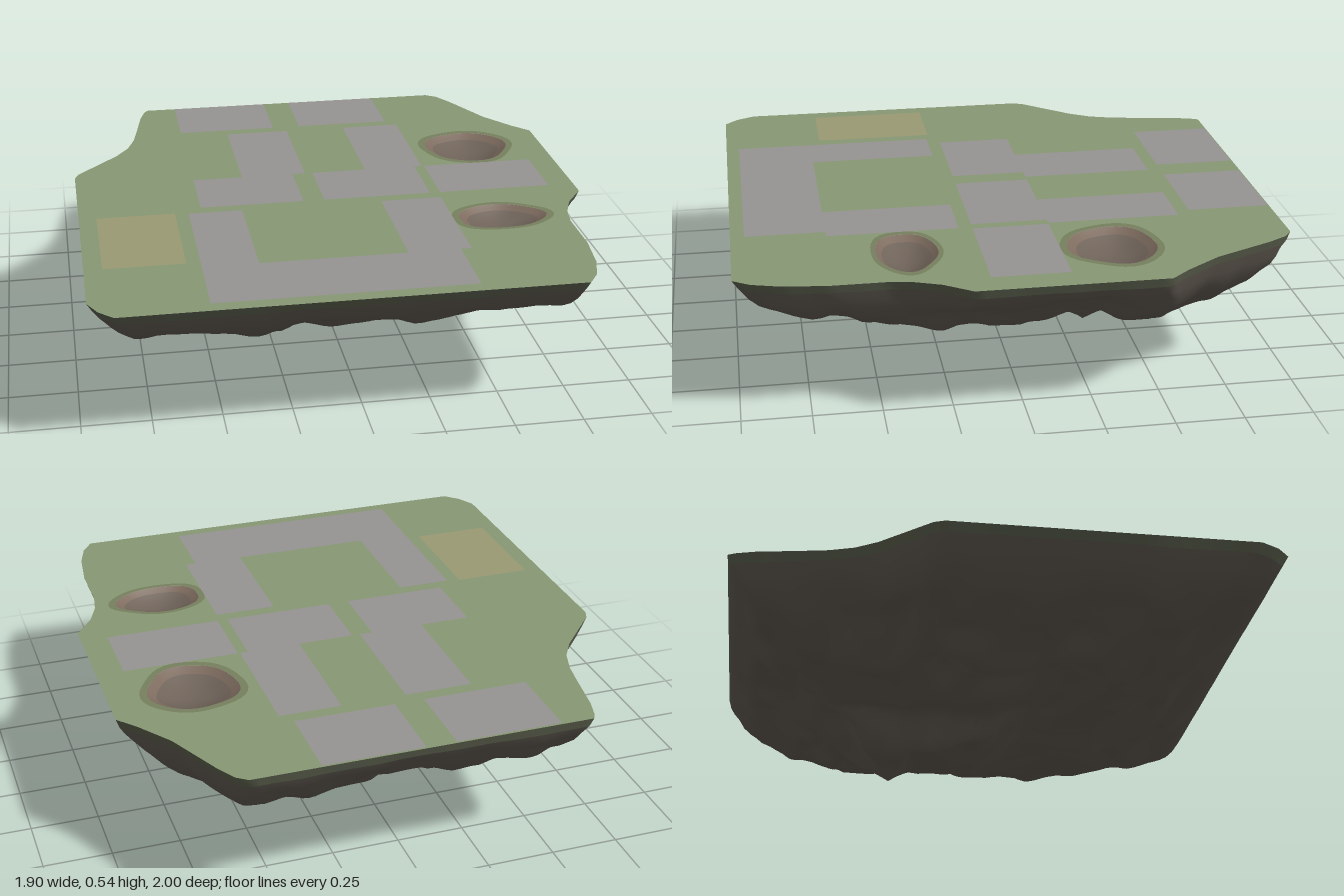
import * as THREE from 'three';

const TOP = 0.535;              // height of the flat ground
const TIP = [0.13, -0.35];      // x, z of the lowest rock point

// Island outline as [x, z], counter-clockwise seen from above
const OUTLINE = [
  [-0.62, -1], [-0.635, -0.97], [-0.655, -0.9], [-0.68, -0.75], [-0.7, -0.64], [-0.73, -0.55], [-0.78, -0.47],
  [-0.86, -0.38], [-0.94, -0.29], [-0.955, -0.25], [-0.955, 0.88], [-0.92, 0.95], [-0.87, 1], [0.74, 1],
  [0.78, 0.94], [0.81, 0.84], [0.83, 0.68], [0.83, 0.48], [0.845, 0.39], [0.88, 0.3], [0.95, 0.2],
  [0.95, -0.48], [0.89, -0.55], [0.8, -0.68], [0.7, -0.9], [0.66, -0.97], [0.62, -1],
];

// Height profiles: along x, along z, and from the tip (0) to the rim (1)
const ALONG_X = [[-0.95, 0.5], [-0.9, 0.42], [-0.8, 0.32], [-0.7, 0.27], [-0.52, 0.2], [-0.35, 0.24], [-0.2, 0.19],
  [-0.1, 0.2], [-0.02, 0.05], [0.06, 0.05], [0.13, 0], [0.2, 0.04], [0.3, 0.15], [0.5, 0.22], [0.7, 0.28],
  [0.8, 0.36], [0.95, 0.5]];
const ALONG_Z = [[-1, 0.5], [-0.9, 0.38], [-0.7, 0.25], [-0.5, 0.13], [-0.42, 0.05], [-0.35, 0], [-0.28, 0.07],
  [-0.06, 0.1], [0, 0.14], [0.35, 0.16], [0.5, 0.19], [0.65, 0.2], [0.8, 0.28], [0.9, 0.36], [1, 0.5]];
const FROM_TIP = [[0, 0], [0.12, 0.06], [0.25, 0.14], [0.4, 0.18], [0.6, 0.22], [0.75, 0.28], [0.88, 0.36],
  [0.95, 0.43], [0.985, 0.5], [1, TOP]];

function sample(table, t) {
  for (let i = 1; i < table.length; i++) {
    const [a, ya] = table[i - 1], [b, yb] = table[i];
    if (t <= b) return ya + (yb - ya) * Math.max(0, (t - a) / (b - a));
  }
  return table[table.length - 1][1];
}

// Smooth value noise in -1..1
const hash = (i, j) => {
  const v = Math.sin(i * 127.1 + j * 311.7) * 43758.5453;
  return (v - Math.floor(v)) * 2 - 1;
};
function noise(x, z) {
  const i = Math.floor(x), j = Math.floor(z);
  const u = THREE.MathUtils.smoothstep(x - i, 0, 1), v = THREE.MathUtils.smoothstep(z - j, 0, 1);
  const mix = THREE.MathUtils.lerp;
  return mix(mix(hash(i, j), hash(i + 1, j), u), mix(hash(i, j + 1), hash(i + 1, j + 1), u), v);
}

// Split the outline into short steps
function subdivide(points, step) {
  const out = [];
  points.forEach(([x, z], i) => {
    const [nx, nz] = points[(i + 1) % points.length];
    const n = Math.max(1, Math.round(Math.hypot(nx - x, nz - z) / step));
    for (let k = 0; k < n; k++) out.push([x + (nx - x) * k / n, z + (nz - z) * k / n]);
  });
  return out;
}

// Closed rings joined into a smooth surface; facing up for bowls
function ringSurface(rings, up = false) {
  const n = rings[0].length, index = [];
  for (let i = 0; i < rings.length - 1; i++) {
    for (let j = 0; j < n; j++) {
      const a = i * n + j, d = i * n + (j + 1) % n, b = a + n, c = d + n;
      index.push(...(up ? [a, d, c, a, c, b] : [a, b, c, a, c, d]));
    }
  }
  const geo = new THREE.BufferGeometry();
  geo.setAttribute('position', new THREE.Float32BufferAttribute(rings.flat(2), 3));
  geo.setIndex(index);
  geo.computeVertexNormals();
  return geo;
}

// Flat patch on the ground from [x, z] points
const toVectors = (points) => points.map(([x, z]) => new THREE.Vector2(x, -z));
function flatPatch(points, y, holes = []) {
  const shape = new THREE.Shape(toVectors(points));
  holes.forEach((h) => shape.holes.push(new THREE.Path(toVectors(h))));
  return new THREE.ShapeGeometry(shape).rotateX(-Math.PI / 2).translate(0, y, 0);
}

export function createModel() {
  const model = new THREE.Group();
  const add = (name, geo, color) => {
    const mesh = new THREE.Mesh(geo, new THREE.MeshStandardMaterial({ color }));
    mesh.name = name;
    model.add(mesh);
  };

  const rim = subdivide(OUTLINE, 0.035);

  // Rocky underside, shrinking from the rim to the tip
  const rockRing = (s) => rim.map(([rx, rz]) => {
    const x = TIP[0] + (rx - TIP[0]) * s, z = TIP[1] + (rz - TIP[1]) * s;
    const fade = Math.min(1, s * 4, (1 - s) * 5);
    const bumps = 0.015 + 0.035 * noise(x * 5 + 9, z * 5) + 0.022 * noise(x * 11, z * 11 + 4)
      - 0.02 * Math.abs(noise(x * 7 + 3, z * 7 + 8));
    const base = sample(FROM_TIP, s);
    const hull = s < 0.98 ? Math.max(base, sample(ALONG_X, x), sample(ALONG_Z, z)) : base;
    return [x, hull + bumps * fade, z];
  });
  const steps = [0.985];
  for (let i = 1; i <= 40; i++) steps.push(0.985 * (1 - i / 40));
  add('rockUnderside', ringSurface(steps.map(rockRing)), 0x625b52);
  add('soilRim', ringSurface([1, 0.985].map(rockRing)), 0x5d624f);

  // Craters: sunken bowls with a scorched ring around them
  const craters = [
    { x: 0.64, z: -0.34, rx: 0.165, rz: 0.16, depth: 0.05 },
    { x: 0.59, z: 0.39, rx: 0.165, rz: 0.11, depth: 0.045 },
  ].map((c, k) => {
    const ring = (s, y) => Array.from({ length: 40 }, (_, i) => {
      const a = i / 40 * Math.PI * 2;
      const r = s * (1 + 0.04 * Math.sin(3 * a + k * 2) + 0.02 * Math.sin(5 * a + 1));
      return [c.x + c.rx * r * Math.cos(a), y, c.z - c.rz * r * Math.sin(a)];
    });
    const bowl = (s) => ring(s, TOP - c.depth * (1 - s * s));
    const edge = (s) => ring(s, 0).map(([x, , z]) => [x, z]);
    return { bowl, edge };
  });
  craters.forEach(({ bowl, edge }) => {
    add('craterRim', ringSurface([1, 0.95, 0.88, 0.8].map(bowl), true), 0x7d6b5e);
    add('craterBowl', ringSurface([0.8, 0.65, 0.5, 0.35, 0.2, 0].map(bowl), true), 0x70645a);
    add('scorchedGrass', flatPatch(edge(1.16), TOP + 0.001, [edge(1)]), 0x76805f);
  });

  // Grass ground with openings for the craters
  add('grass', flatPatch(rim, TOP, craters.map((c) => c.edge(1))), 0x879873);

  // Paved areas and the sand plot: x from, x to, z from, z to
  const rect = ([x0, x1, z0, z1]) => flatPatch([[x0, z0], [x0, z1], [x1, z1], [x1, z0]], TOP + 0.002);
  [
    [-0.5, -0.11, -0.995, -0.69], [0, 0.37, -0.995, -0.69],
    [-0.31, -0.06, -0.64, -0.15], [0.18, 0.41, -0.64, -0.15],
    [-0.5, -0.11, -0.15, 0.13], [-0.03, 0.38, -0.15, 0.13], [0.42, 0.85, -0.15, 0.13],
    [-0.55, -0.35, 0.18, 0.66], [0.18, 0.41, 0.18, 0.66], [-0.55, 0.37, 0.66, 0.95],
  ].forEach((r) => add('pavement', rect(r), 0x979492));
  add('sandPlot', rect([-0.89, -0.6, 0.17, 0.62]), 0x9b9a74);

  return model;
}
